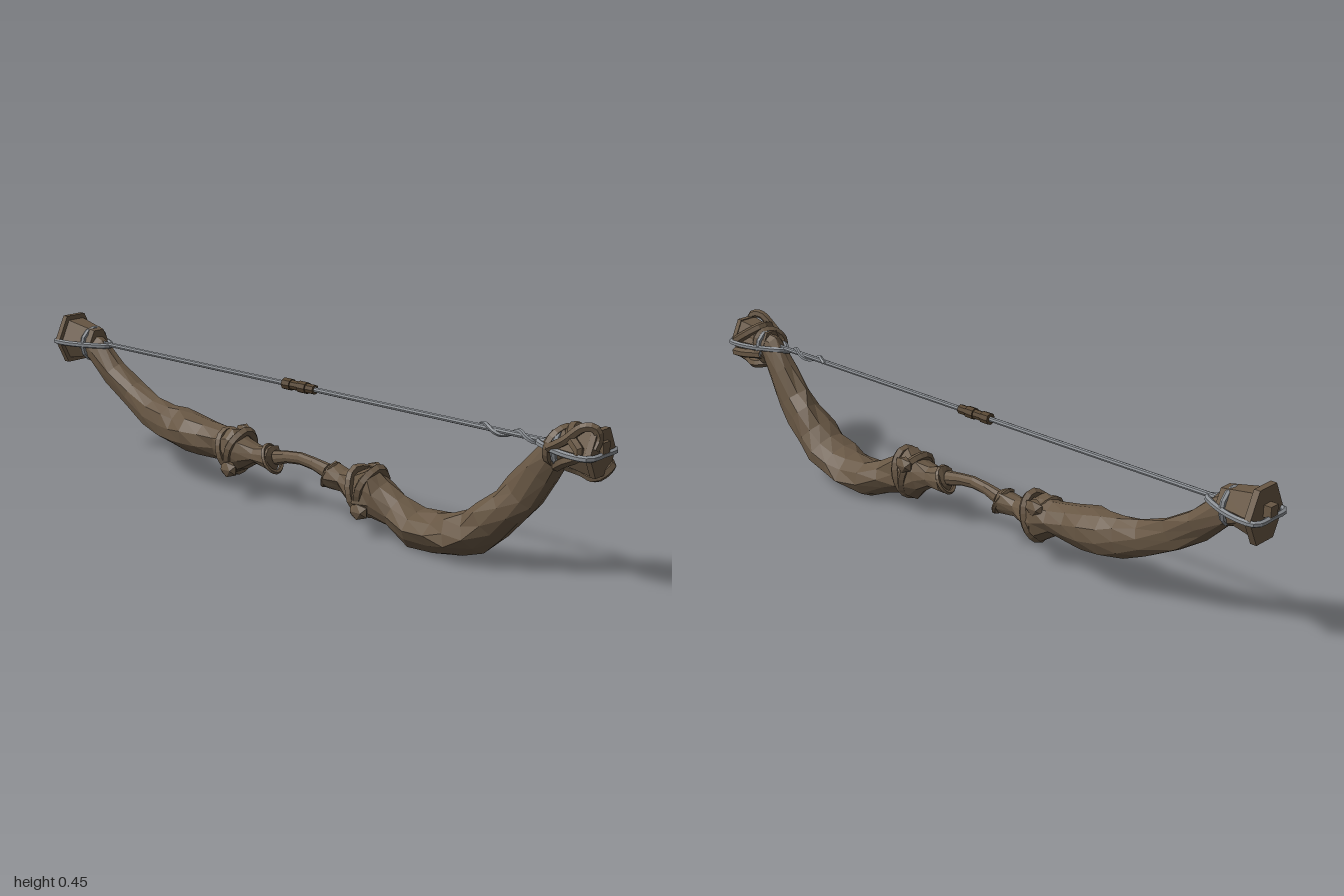
import * as THREE from 'three';

const wood = new THREE.MeshStandardMaterial({ color: 0x685744 });
const binding = new THREE.MeshStandardMaterial({ color: 0x54432f });
const cord = new THREE.MeshStandardMaterial({ color: 0x8a8e93 });
wood.name = 'wood';
binding.name = 'binding';
cord.name = 'cord';

const STRING_Y = 0.372;

let seed = 7;
function rand() { // -1..1
  seed = (seed * 16807) % 2147483647;
  return (seed / 2147483647) * 2 - 1;
}

export function createModel() {
  const group = new THREE.Group();

  // faceted mesh with hard edges everywhere
  function add(name, geo, mat) {
    const g = geo.index ? geo.toNonIndexed() : geo;
    g.computeVertexNormals();
    const mesh = new THREE.Mesh(g, mat);
    mesh.name = name;
    group.add(mesh);
  }
  function tube(name, pts, r, mat, closed = false, segs = pts.length * 3, sides = 6) {
    const curve = new THREE.CatmullRomCurve3(pts.map(p => new THREE.Vector3(...p)), closed);
    add(name, new THREE.TubeGeometry(curve, segs, r, sides, closed), mat);
  }
  function hexPrism(name, zFront, zBack, rFront, rBack) {
    const g = new THREE.CylinderGeometry(rFront, rBack, zFront - zBack, 6, 1, false, Math.PI / 6);
    g.rotateX(Math.PI / 2);
    g.scale(0.84, 1, 1);
    g.translate(0, STRING_Y, (zFront + zBack) / 2);
    add(name, g, wood);
  }

  // gnarled stave: z, y, half width, half thickness
  const stations = [
    [0.94, 0.372, 0.045, 0.05], [0.86, 0.36, 0.036, 0.045], [0.81, 0.295, 0.037, 0.05],
    [0.76, 0.222, 0.045, 0.055], [0.72, 0.18, 0.053, 0.058], [0.67, 0.13, 0.062, 0.06],
    [0.62, 0.092, 0.07, 0.058], [0.56, 0.066, 0.074, 0.056], [0.5, 0.055, 0.074, 0.053],
    [0.42, 0.056, 0.066, 0.052], [0.35, 0.08, 0.05, 0.05],
    [0.29, 0.105, 0.052, 0.056], [0.25, 0.12, 0.058, 0.074], [0.21, 0.125, 0.046, 0.05],
    [0.165, 0.135, 0.032, 0.032], [0.115, 0.138, 0.035, 0.042], [0.1, 0.147, 0.02, 0.022],
    [0.05, 0.158, 0.016, 0.018], [0, 0.163, 0.015, 0.018], [-0.05, 0.158, 0.016, 0.018],
    [-0.095, 0.147, 0.02, 0.022], [-0.11, 0.14, 0.035, 0.042], [-0.17, 0.142, 0.03, 0.026],
    [-0.22, 0.14, 0.048, 0.048], [-0.26, 0.14, 0.058, 0.07], [-0.31, 0.148, 0.052, 0.05],
    [-0.37, 0.154, 0.056, 0.054], [-0.43, 0.16, 0.062, 0.058], [-0.49, 0.162, 0.06, 0.058],
    [-0.54, 0.172, 0.049, 0.055],
    [-0.61, 0.192, 0.041, 0.05], [-0.7, 0.235, 0.036, 0.046], [-0.78, 0.285, 0.035, 0.042],
    [-0.85, 0.345, 0.036, 0.04], [-0.92, 0.372, 0.042, 0.045],
  ];
  const N = 10, pos = [], idx = [];
  stations.forEach(([z, y, rx, rt], i) => {
    const a = stations[Math.max(i - 1, 0)], b = stations[Math.min(i + 1, stations.length - 1)];
    const dz = b[0] - a[0], dy = b[1] - a[1], len = Math.hypot(dz, dy);
    const ny = -dz / len, nz = dy / len;
    const grip = rx < 0.025;
    for (let j = 0; j < N; j++) {
      const t = (j / N) * Math.PI * 2 + (grip ? 0 : i * 0.13);
      const k = 1 + rand() * (grip ? 0.02 : 0.13);
      const s = Math.sin(t) * rt * k;
      pos.push(Math.cos(t) * rx * k, Math.max(y + ny * s, 0), z + nz * s);
    }
  });
  for (let i = 0; i < stations.length - 1; i++) {
    for (let j = 0; j < N; j++) {
      const a = i * N + j, b = i * N + (j + 1) % N, c = a + N, d = b + N;
      idx.push(a, c, b, b, c, d);
    }
  }
  const stave = new THREE.BufferGeometry();
  stave.setAttribute('position', new THREE.Float32BufferAttribute(pos, 3));
  stave.setIndex(idx);
  add('stave', stave, wood);

  // roots wound round the two knots and the grip collars
  function wrap(name, z, y, rx, ry, lean, r) {
    const pts = [];
    for (let k = 0; k < 9; k++) {
      const t = (k / 9) * Math.PI * 2, w = 1 + rand() * 0.07;
      pts.push([Math.cos(t) * rx * w, y + Math.sin(t) * ry * w, z + Math.sin(t + lean) * 0.018]);
    }
    tube(name, pts, r, wood, true, 20, 5);
  }
  for (const [z, y, s] of [[0.245, 0.12, 1], [-0.255, 0.138, 0.92]]) {
    wrap('knotRoot', z + 0.015, y, 0.05 * s, 0.066 * s, 0.4, 0.014);
    wrap('knotRoot', z - 0.012, y, 0.05 * s, 0.062 * s, 2.6, 0.013);
    for (const side of [1, -1]) {
      const burl = new THREE.IcosahedronGeometry(0.026, 0);
      burl.scale(0.7, 1, 1.3);
      burl.translate(side * 0.05 * s, y + side * 0.045, z - side * 0.012);
      add('burl', burl, wood);
    }
  }
  wrap('gripCollar', 0.112, 0.138, 0.03, 0.036, 0, 0.007);
  wrap('gripCollar', -0.112, 0.14, 0.03, 0.036, 3, 0.007);

  // back tip: flared hexagonal block with end plate and peg
  hexPrism('backBlock', -0.85, -0.957, 0.045, 0.068);
  hexPrism('backPlate', -0.957, -0.975, 0.084, 0.084);
  add('backPeg', new THREE.BoxGeometry(0.03, 0.032, 0.03).translate(0, 0.386, -0.982), wood);

  // front tip: smaller hexagonal block overgrown by roots
  hexPrism('frontBlock', 0.978, 0.86, 0.066, 0.046);
  hexPrism('frontPlate', 0.988, 0.972, 0.068, 0.068);
  add('frontPeg', new THREE.BoxGeometry(0.03, 0.032, 0.02).translate(0, 0.386, 0.988), wood);
  tube('upperRoot', [[-0.045, 0.37, 0.86], [-0.05, 0.4, 0.91], [-0.038, 0.438, 0.955],
    [-0.025, 0.436, 0.98], [-0.02, 0.41, 0.986], [-0.035, 0.385, 0.984]], 0.013, wood);
  tube('lowerRoot', [[0.045, 0.35, 0.86], [0.056, 0.34, 0.93], [0.048, 0.332, 0.982],
    [0.025, 0.32, 0.984], [0.01, 0.304, 0.965], [0.03, 0.305, 0.91], [0.01, 0.32, 0.85]], 0.014, wood);
  tube('sideRoot', [[-0.02, 0.32, 0.87], [-0.05, 0.345, 0.91], [-0.058, 0.375, 0.96],
    [-0.04, 0.408, 0.92], [0.01, 0.422, 0.9], [0.042, 0.4, 0.93], [0.056, 0.372, 0.97]], 0.014, wood);
  wrap('frontNeckRoot', 0.87, 0.365, 0.042, 0.048, 1, 0.013);

  // bowstring with a bound centre
  const rod = (r, z0, z1) => new THREE.CylinderGeometry(r, r, z1 - z0, 8)
    .rotateX(Math.PI / 2).translate(0, STRING_Y, (z0 + z1) / 2);
  add('string', rod(0.0075, -0.83, 0.83), cord);
  for (let k = 0; k < 4; k++) {
    const z = -0.062 + k * 0.029;
    add('stringBinding', rod(k % 2 ? 0.014 : 0.017, z, z + 0.028), binding);
  }

  // loops hooking the string over each tip
  for (const e of [1, -1]) {
    const y = STRING_Y - 0.004;
    tube('stringLoop', [[0, y, e * 0.8], [0.042, y, e * 0.86], [0.066, y, e * 0.94], [0.06, y, e * 0.986],
      [0, y, e * 0.991], [-0.06, y, e * 0.986], [-0.066, y, e * 0.94], [-0.042, y, e * 0.86]],
      0.0085, cord, true, 32);
    const ring = new THREE.TorusGeometry(0.047, 0.008, 6, 12);
    ring.translate(0, 0.366, e * 0.875);
    add('cordRing', ring, cord);
  }

  // loose cord end twisted round the string near the front tip
  const twist = [];
  for (let k = 0; k <= 16; k++) {
    const t = k * 0.85, r = 0.01;
    twist.push([Math.cos(t) * r, STRING_Y + Math.sin(t) * r, 0.61 + k * 0.0145]);
  }
  tube('twistedCord', twist, 0.006, cord, false, 40, 5);

  return group;
}
